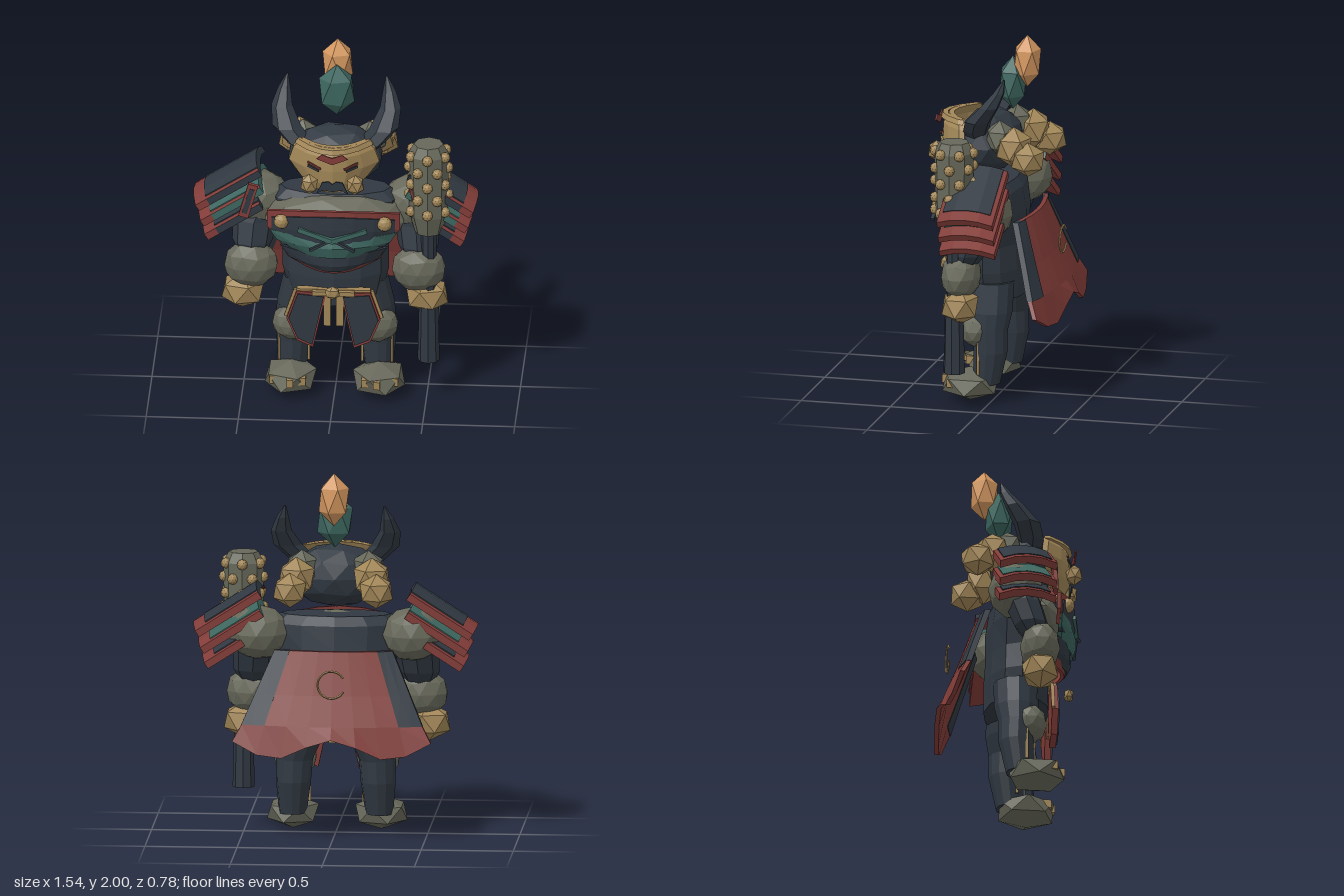
import * as THREE from 'three';

const mat = (name, color) => new THREE.MeshStandardMaterial({ name, color, flatShading: true, side: THREE.DoubleSide });

export function createModel() {
  const root = new THREE.Group();
  const dark = mat('slate', 0x303841), olive = mat('olive skin', 0x67685a), gold = mat('aged gold', 0xa28758);
  const red = mat('brick red', 0x813c38), teal = mat('deep teal', 0x3d665f), orange = mat('amber', 0xd2965f);

  const add = (parent, name, geo, material, x = 0, y = 0, z = 0) => {
    const m = new THREE.Mesh(geo, material);
    m.name = name;
    m.position.set(x, y, z);
    parent.add(m);
    return m;
  };
  // faceted blob with a vertex at the top
  const blob = (parent, name, material, p, r, detail = 1) =>
    add(parent, name, new THREE.IcosahedronGeometry(1, detail)
      .rotateZ(Math.atan(2 / (1 + Math.sqrt(5)))).scale(...r), material, ...p);
  const box = (parent, name, material, p, s, rz = 0) => {
    const m = add(parent, name, new THREE.BoxGeometry(...s), material, ...p);
    m.rotation.z = rz;
    return m;
  };
  // thin outline cut from flat points
  const slab = (parent, name, material, pts, z, depth = 0.008) =>
    add(parent, name, new THREE.ExtrudeGeometry(new THREE.Shape(pts.map(p => new THREE.Vector2(...p))),
      { depth, bevelEnabled: false }), material, 0, 0, z);
  // skin over rings ordered top to bottom, each counter-clockwise from above
  const loft = (rings) => {
    const n = rings[0].length, v = [];
    const quad = (a, b, c, d) => [a, b, c, a, c, d].forEach(p => v.push(...p));
    for (let j = 0; j < rings.length - 1; j++)
      for (let i = 0; i < n; i++) {
        const k = (i + 1) % n;
        quad(rings[j][i], rings[j + 1][i], rings[j + 1][k], rings[j][k]);
      }
    const top = rings[0], end = rings[rings.length - 1];
    for (let i = 0; i < n / 2 - 1; i++) {
      quad(top[i], top[i + 1], top[n - 2 - i], top[n - 1 - i]);
      quad(end[n - 1 - i], end[n - 2 - i], end[i + 1], end[i]);
    }
    const g = new THREE.BufferGeometry();
    g.setAttribute('position', new THREE.Float32BufferAttribute(v, 3));
    g.computeVertexNormals();
    return g;
  };
  // curved plate; rows are [y, half width, middle z, edge z], drop(u, row) shifts y
  const plate = (rows, t, cols = 6, u0 = -1, u1 = 1, drop = () => 0) => loft(rows.map(([y, w, zc, ze], j) => {
    const ring = [];
    for (const back of [0, 1])
      for (let i = 0; i <= cols; i++) {
        const u = u0 + (u1 - u0) * (back ? cols - i : i) / cols;
        ring.push([u * w, y + drop(u, j), ze + (zc - ze) * (1 - u * u) - back * t]);
      }
    return ring;
  }));
  const circle = (x, y, z, rx, rz, n = 6) => Array.from({ length: n }, (_, i) => {
    const a = i / n * Math.PI * 2;
    return [x + rx * Math.cos(a), y, z - rz * Math.sin(a)];
  });

  // plumes
  blob(root, 'frontPlume', teal, [0, 1.73, -0.055], [0.108, 0.15, 0.083], 0);
  blob(root, 'backPlume', orange, [0, 1.855, -0.135], [0.092, 0.145, 0.083], 0);

  // torso and skirt
  add(root, 'torso', loft([[1.2, 0.3, 0.12], [1.15, 0.36, 0.15], [1.02, 0.35, 0.17], [0.86, 0.29, 0.17], [0.72, 0.29, 0.18], [0.56, 0.25, 0.18]]
    .map(([y, rx, rz]) => circle(0, y, 0.04, rx, rz, 12))), dark);
  blob(root, 'belly', olive, [0, 1.045, 0.1], [0.395, 0.165, 0.2]);

  // layered chest armour, sagging toward the sides
  const sag = u => -0.05 * u * u;
  const chest = (name, rows, material) => add(root, name, plate(rows, 0.02, 6, -1, 1, sag), material);
  chest('chestTrim', [[1.185, 0.36, 0.345, 0.24], [1.09, 0.36, 0.35, 0.24], [1.02, 0.31, 0.34, 0.24]], red);
  chest('chestPlate', [[1.155, 0.335, 0.355, 0.26], [1.08, 0.335, 0.36, 0.255], [0.99, 0.28, 0.355, 0.255]], dark);
  add(root, 'bellyPlate', plate([[1.025, 0.345, 0.345, 0.25], [0.97, 0.31, 0.365, 0.25], [0.905, 0.2, 0.345, 0.26]], 0.02), teal);
  add(root, 'lowerTrim', plate([[0.9, 0.28, 0.32, 0.2], [0.845, 0.25, 0.32, 0.2], [0.795, 0.15, 0.3, 0.22]], 0.02), red);
  add(root, 'lowerPlate', plate([[0.92, 0.29, 0.335, 0.22], [0.85, 0.24, 0.335, 0.22], [0.81, 0.14, 0.315, 0.24]], 0.02), dark);
  for (const s of [-1, 1]) {
    box(root, 'chestKnot', teal, [s * 0.09, 1.045, 0.35], [0.2, 0.026, 0.025], s * 0.25).rotation.y = s * 0.2;
    box(root, 'chestKnot', dark, [s * 0.06, 0.995, 0.365], [0.14, 0.014, 0.02], s * -0.5);
  }

  // helmet and mask
  blob(root, 'helmet', dark, [0, 1.405, 0.07], [0.265, 0.175, 0.175]);
  add(root, 'mask', plate([[1.55, 0.17, 0.3, 0.2], [1.5, 0.22, 0.33, 0.19], [1.42, 0.245, 0.335, 0.18],
    [1.34, 0.18, 0.33, 0.21], [1.28, 0.11, 0.3, 0.23]], 0.03), gold);
  add(root, 'brow', plate([[1.55, 0.19, 0.335, 0.2], [1.525, 0.21, 0.345, 0.2]], 0.03), gold);
  slab(root, 'foreheadMark', red, [[0, 1.475], [0.085, 1.51], [0.055, 1.535], [0, 1.515], [-0.055, 1.535], [-0.085, 1.51]], 0.352);
  slab(root, 'moustache', dark, [[-0.085, 1.295], [-0.05, 1.315], [0, 1.305], [0.05, 1.315], [0.085, 1.295], [0.055, 1.36], [0.02, 1.365],
    [0, 1.35], [-0.02, 1.365], [-0.055, 1.36]], 0.335);

  // belt bar and knot
  box(root, 'beltBar', gold, [0, 0.65, 0.23], [0.23, 0.025, 0.06]);
  box(root, 'beltEdge', gold, [0, 0.66, 0.215], [0.4, 0.012, 0.04]);
  blob(root, 'beltKnot', gold, [0, 0.69, 0.325], [0.045, 0.04, 0.028], 0);

  // flared cape with side bands
  const capeRows = [[1.03, 0.32, -0.185, -0.14], [0.8, 0.42, -0.265, -0.215], [0.64, 0.49, -0.33, -0.265], [0.53, 0.54, -0.37, -0.305]];
  const hem = (u, j) => j === 3 ? 0.055 * Math.cos(u * Math.PI * 1.7) - 0.01 : 0;
  add(root, 'cape', plate(capeRows, 0.025, 8, -1, 1, hem), red);
  const ring = add(root, 'capeRing', new THREE.TorusGeometry(0.075, 0.006, 4, 16, Math.PI * 5 / 3), gold, 0, 0.87, -0.335);
  ring.rotation.z = -Math.PI * 5 / 6;

  // parts shared by both sides, built on the left
  const side = new THREE.Group();
  side.name = 'leftSide';
  const bandRows = capeRows.slice(0, 3).map(([y, w, c, e]) => [y, w * 1.004, c + 0.004, e + 0.004]);
  add(side, 'capeBand', plate(bandRows, 0.033, 2, 0.74, 1), dark);

  // horn sweeping out, up and back
  add(side, 'horn', loft([[0.27, 1.81, -0.075, 0.006], [0.285, 1.74, -0.05, 0.034], [0.295, 1.66, 0, 0.057], [0.265, 1.57, 0.07, 0.078],
    [0.2, 1.5, 0.1, 0.075], [0.15, 1.44, 0.1, 0.06]].map(([x, y, z, r]) => circle(x, y, z, r, r * 0.95))), dark);
  blob(side, 'ear', olive, [0.18, 1.46, -0.03], [0.1, 0.1, 0.09], 0);
  blob(side, 'hairLock', gold, [0.205, 1.42, -0.115], [0.11, 0.115, 0.105], 0);
  blob(side, 'hairEnd', gold, [0.235, 1.365, -0.2], [0.1, 0.095, 0.1], 0);

  // mask details
  blob(side, 'cheek', gold, [0.125, 1.35, 0.34], [0.052, 0.06, 0.05], 0);
  const eye = box(side, 'eye', dark, [0.105, 1.435, 0.318], [0.07, 0.012, 0.009], 0.25);
  const lid = box(side, 'eyelid', red, [0.1, 1.45, 0.318], [0.085, 0.009, 0.009], 0.3);
  eye.rotation.y = lid.rotation.y = 0.45;
  blob(side, 'chestStud', gold, [0.28, 1.095, 0.29], [0.042, 0.042, 0.035]);

  // arm
  blob(side, 'shoulder', olive, [0.42, 1.1, -0.01], [0.17, 0.15, 0.155]);
  add(side, 'upperArm', loft([[0.4, 1.1, 0.02, 0.1], [0.44, 1.0, 0.03, 0.12], [0.45, 0.88, 0.07, 0.11], [0.45, 0.8, 0.1, 0.07]]
    .map(([x, y, z, r]) => circle(x, y, z, r, r * 0.85, 8))), dark);
  blob(side, 'forearm', olive, [0.455, 0.755, 0.115], [0.15, 0.135, 0.11]);
  blob(side, 'fist', gold, [0.5, 0.595, 0.11], [0.128, 0.105, 0.11], 0);

  // three arched shoulder plates with a red tip and border
  [[0.583, 1.23, 0.405, dark], [0.565, 1.133, 0.385, teal], [0.555, 1.043, 0.355, dark]].forEach(([x, y, len, face]) => {
    const g = new THREE.Group();
    g.name = 'shoulderPlate';
    g.position.set(x, y, 0.02);
    g.rotation.z = -0.57;
    const arched = (l, h, w) => {
      const geo = new THREE.BoxGeometry(l, h, w, 1, 1, 4), p = geo.attributes.position;
      for (let i = 0; i < p.count; i++) p.setY(i, p.getY(i) - 1.4 * p.getZ(i) ** 2 + 0.015);
      geo.computeVertexNormals();
      return geo;
    };
    const tip = 0.07;
    add(g, 'plateTip', arched(tip, 0.04, 0.31), red, (len - tip) / 2);
    add(g, 'plateBody', arched(len - tip, 0.04, 0.31), [red, face, red, red, face, red], -tip / 2);
    add(g, 'plateFace', arched(len - tip, 0.03, 0.265), face, -tip / 2, 0.009);
    side.add(g);
  });

  // strap in front of the shoulder
  const strap = box(side, 'armStrap', red, [0.465, 1.17, 0.195], [0.055, 0.2, 0.025], 0.28);
  box(strap, 'strapFace', dark, [0, 0, 0.013], [0.028, 0.15, 0.006]);

  // front skirt panel
  const panel = [[0.04, 0.64], [0.2, 0.655], [0.255, 0.49], [0.2, 0.36], [0.11, 0.32]];
  const skirt = new THREE.Group();
  skirt.name = 'skirtPanel';
  slab(skirt, 'panelTrim', red, panel, 0.205, 0.035);
  slab(skirt, 'panelFace', dark, panel.map(([x, y]) => [0.15 + (x - 0.15) * 0.89, 0.5 + (y - 0.5) * 0.9]), 0.24);
  box(skirt, 'panelGold', gold, [0.235, 0.575, 0.21], [0.016, 0.17, 0.02], 0.32);
  side.add(skirt);
  box(side, 'cord', gold, [0.035, 0.55, 0.225], [0.04, 0.2, 0.03]);

  // leg and foot
  add(side, 'leg', loft([[0.66, 0.16, 0.02, 0.125], [0.5, 0.2, 0.015, 0.12], [0.4, 0.225, 0.015, 0.1], [0.28, 0.23, 0.01, 0.095], [0.1, 0.235, 0.03, 0.075]]
    .map(([y, x, z, r]) => circle(x, y, z, r, r, 12))), dark);
  blob(side, 'knee', olive, [0.225, 0.4, 0.085], [0.12, 0.105, 0.095]);
  for (const x of [0.145, 0.305]) box(side, 'shinStrip', gold, [x, 0.26, 0.06], [0.014, 0.2, 0.016]);
  blob(side, 'foot', olive, [0.24, 0.093, 0.12], [0.158, 0.093, 0.172], 0);
  [[0.17, 0.225], [0.235, 0.25], [0.33, 0.2]].forEach(([x, z]) => box(side, 'toenail', gold, [x, 0.11, z], [0.036, 0.045, 0.05]));

  root.add(side);
  const other = side.clone();
  other.name = 'rightSide';
  other.scale.x = -1;
  root.add(other);

  // studded club held in the left fist
  const club = new THREE.Group();
  club.name = 'club';
  club.position.set(0.51, 0, 0.14);
  add(club, 'clubHead', new THREE.LatheGeometry([[0, 0.99], [0.075, 0.99], [0.105, 1.1], [0.11, 1.46], [0.08, 1.515], [0, 1.515]]
    .map(p => new THREE.Vector2(...p)), 8), olive);
  add(club, 'clubNeck', new THREE.CylinderGeometry(0.042, 0.042, 0.5, 8), dark, 0, 0.77, 0);
  add(club, 'clubHandle', new THREE.CylinderGeometry(0.052, 0.06, 0.34, 8), dark, 0, 0.39, 0);
  for (let row = 0; row < 5; row++)
    for (let i = 0; i < 6; i++) {
      const a = (i + (row % 2) / 2) / 6 * Math.PI * 2;
      blob(club, 'clubStud', gold, [Math.sin(a) * 0.106, 1.13 + row * 0.082, Math.cos(a) * 0.106], [0.029, 0.03, 0.029]);
    }
  root.add(club);
  return root;
}
